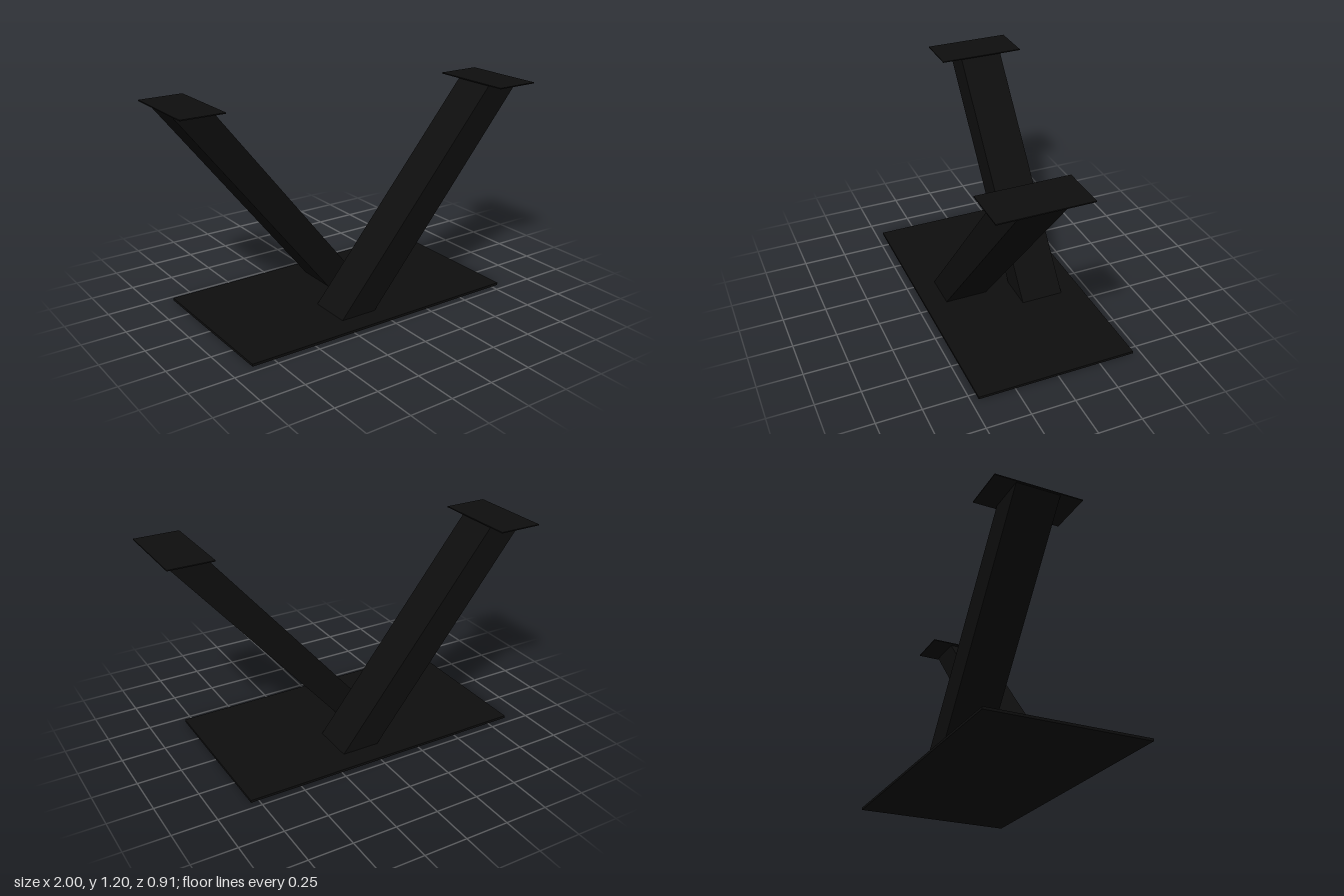
import * as THREE from 'three';

export function createModel() {
  const model = new THREE.Group();
  const blackSteel = new THREE.MeshStandardMaterial({ color: 0x0e0e0e });
  blackSteel.name = 'blackSteel';

  const plate = (name, x0, x1, y0, y1, z0, z1) => {
    const mesh = new THREE.Mesh(new THREE.BoxGeometry(x1 - x0, y1 - y0, z1 - z0), blackSteel);
    mesh.position.set((x0 + x1) / 2, (y0 + y1) / 2, (z0 + z1) / 2);
    mesh.name = name;
    model.add(mesh);
  };

  // Floor plate and the two mounting plates
  plate('basePlate', -0.875, 0.795, 0, 0.014, -0.457, 0.457);
  plate('rightTopPlate', -1, -0.745, 1.194, 1.2, -0.453, 0.044);
  plate('leftTopPlate', 0.742, 1, 1.194, 1.2, -0.05, 0.446);

  // Each slanted leg is three square tubes side by side, mitred at both ends
  const leg = (name, bottom, top, zStart) => {
    const group = new THREE.Group();
    group.name = name;
    const shape = new THREE.Shape([
      new THREE.Vector2(bottom[0], 0.012), new THREE.Vector2(bottom[1], 0.012),
      new THREE.Vector2(top[1], 1.195), new THREE.Vector2(top[0], 1.195),
    ]);
    const width = 0.25 / 3;
    const geometry = new THREE.ExtrudeGeometry(shape, { depth: width, bevelEnabled: false });
    for (let i = 0; i < 3; i++) {
      const tube = new THREE.Mesh(geometry, blackSteel);
      tube.name = 'legTube';
      tube.position.z = zStart + i * width;
      group.add(tube);
    }
    model.add(group);
  };
  leg('rightLeg', [-0.055, 0.165], [-0.99, -0.77], -0.33);
  leg('leftLeg', [-0.24, -0.022], [0.768, 0.987], 0.08);

  return model;
}
